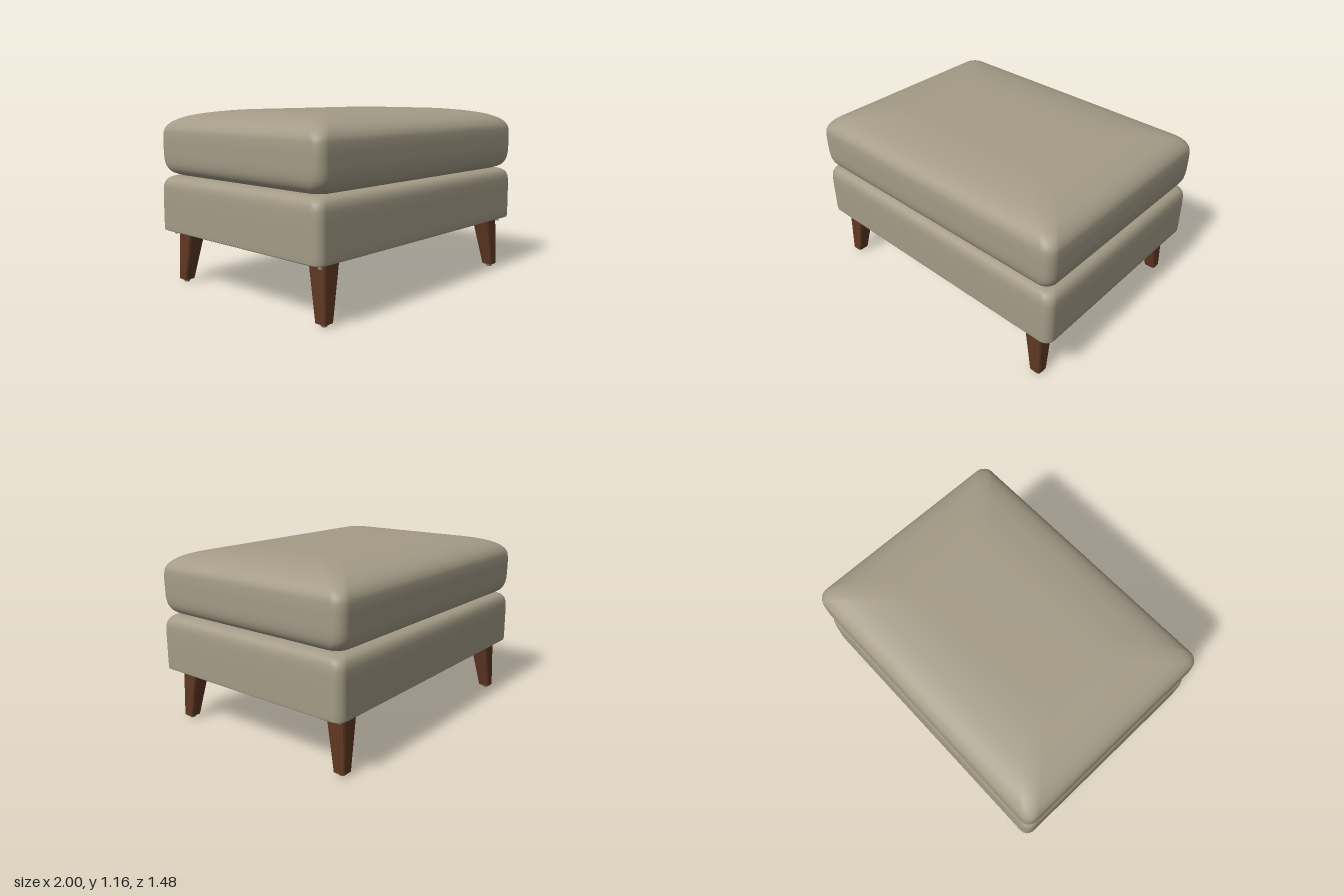
import * as THREE from 'three';

// Rounded-rectangle ring of points at height y.
function ring({ y, hx, hz, r, cx = 0, cz = 0, seg = 8 }) {
  const pts = [];
  const corners = [[1, 1], [-1, 1], [-1, -1], [1, -1]];
  corners.forEach(([sx, sz], q) => {
    for (let k = 0; k <= seg; k++) {
      const a = (q + k / seg) * Math.PI / 2;
      pts.push([cx + sx * (hx - r) + r * Math.cos(a), y, cz + sz * (hz - r) + r * Math.sin(a)]);
    }
  });
  return pts;
}

// Skin a stack of rings from bottom to top and close both ends.
function loft(sections, flat = false) {
  const rings = sections.map(ring);
  const n = rings[0].length;
  const top = rings.length - 1;
  const pos = rings.flat();
  const idx = [];
  for (let i = 0; i < top; i++) {
    for (let j = 0; j < n; j++) {
      const k = (j + 1) % n;
      const a = i * n + j, b = a + n, c = i * n + k, d = c + n;
      idx.push(a, b, c, c, b, d);
    }
  }
  for (const [i, up] of [[0, false], [top, true]]) {
    const s = sections[i];
    const start = pos.length;
    pos.push(...rings[i], [s.cx || 0, s.y, s.cz || 0]);
    for (let j = 0; j < n; j++) {
      const a = start + j, b = start + (j + 1) % n;
      idx.push(start + n, up ? b : a, up ? a : b);
    }
  }
  let geo = new THREE.BufferGeometry();
  geo.setAttribute('position', new THREE.Float32BufferAttribute(pos.flat(), 3));
  geo.setIndex(idx);
  if (flat) geo = geo.toNonIndexed();
  geo.computeVertexNormals();
  return geo;
}

// Upholstered block from a profile of [inset, height] pairs.
function upholstery(hx, hz, profile, radius, grow, samples) {
  const curve = new THREE.SplineCurve(profile.map(([d, y]) => new THREE.Vector2(d, y)));
  return loft(curve.getPoints(samples).map(({ x: d, y }) => (
    { y, hx: hx - d, hz: hz - d, r: radius + grow * Math.max(d, 0) })));
}

export function createModel() {
  const fabric = new THREE.MeshStandardMaterial({ color: 0xa49b87 });
  fabric.name = 'taupe fabric';
  const wood = new THREE.MeshStandardMaterial({ color: 0x5e3722 });
  wood.name = 'walnut wood';
  const metal = new THREE.MeshStandardMaterial({ color: 0x8c8a84 });
  metal.name = 'grey metal';

  const model = new THREE.Group();
  model.name = 'footstool';
  const add = (parent, name, geo, mat, x = 0, y = 0, z = 0) => {
    const mesh = new THREE.Mesh(geo, mat);
    mesh.name = name;
    mesh.position.set(x, y, z);
    parent.add(mesh);
  };

  // Upholstered base, softly rounded at the top
  add(model, 'base', upholstery(1, 0.738, [
    [0.018, 0.363], [0.005, 0.368], [0, 0.385], [0, 0.5], [0.001, 0.62],
    [0.006, 0.675], [0.022, 0.708], [0.05, 0.725], [0.09, 0.731], [0.14, 0.732],
  ], 0.06, 0.1, 36), fabric);

  // Domed seat cushion with a tucked-under bottom edge
  add(model, 'cushion', upholstery(0.99, 0.738, [
    [0.11, 0.728], [0.075, 0.735], [0.035, 0.755], [0.012, 0.79], [0.002, 0.84],
    [0, 0.92], [0.001, 0.99], [0.01, 1.04], [0.045, 1.083], [0.11, 1.116],
    [0.2, 1.138], [0.32, 1.154], [0.42, 1.16], [0.52, 1.161],
  ], 0.07, 0.08, 52), fabric);

  // Tapered splayed legs with glides and fixings, one at each corner
  const glide = new THREE.CylinderGeometry(0.026, 0.018, 0.022, 16);
  const peg = new THREE.CylinderGeometry(0.013, 0.013, 0.03, 12);
  for (const sx of [-1, 1]) {
    for (const sz of [-1, 1]) {
      const leg = new THREE.Group();
      leg.name = `${sz > 0 ? 'front' : 'back'}${sx > 0 ? 'Left' : 'Right'}Leg`;
      add(leg, 'legPost', loft([
        { y: 0.02, hx: 0.038, hz: 0.039, r: 0.014, cx: sx * 0.872, cz: sz * 0.651, seg: 2 },
        { y: 0.368, hx: 0.066, hz: 0.066, r: 0.02, cx: sx * 0.836, cz: sz * 0.616, seg: 2 },
      ], true), wood);
      add(leg, 'glide', glide, metal, sx * 0.872, 0.011, sz * 0.651);
      add(leg, 'mountingPlate', new THREE.BoxGeometry(0.16, 0.006, 0.16), fabric,
        sx * 0.845, 0.361, sz * 0.622);
      add(leg, 'fixingPeg', peg, metal, sx * 0.923, 0.352, sz * 0.674);
      model.add(leg);
    }
  }
  return model;
}
